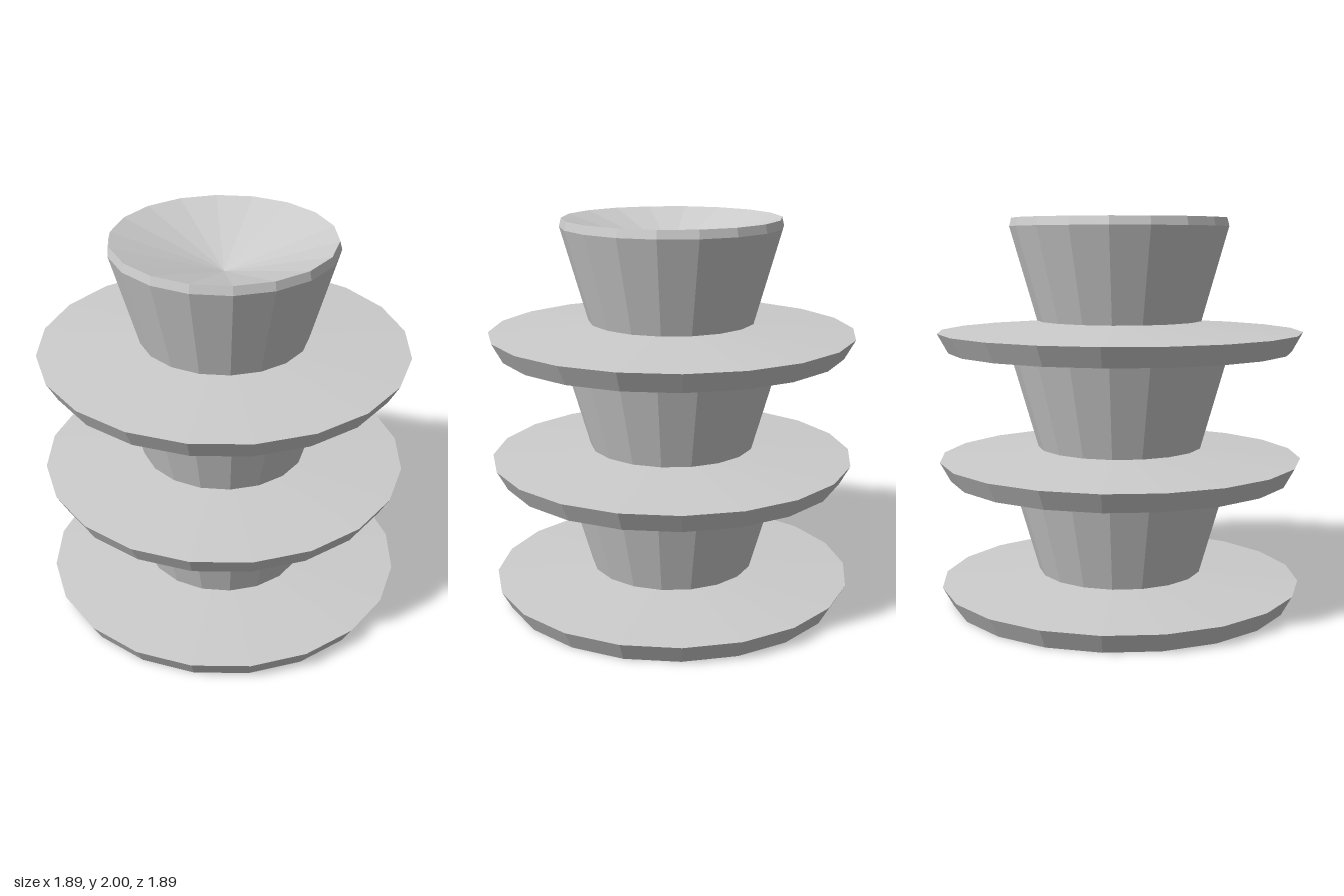
import * as THREE from 'three';

// Faceted solid of revolution with a corner on the +x axis; profile runs from bottom centre to top centre.
function turned(profile, sides) {
  const points = profile.map(([r, y]) => new THREE.Vector2(r, y));
  const geometry = new THREE.LatheGeometry(points, sides).rotateY(Math.PI / 2).toNonIndexed();
  geometry.computeVertexNormals();
  return geometry;
}

export function createModel() {
  const model = new THREE.Group();
  model.name = 'stackedInsulator';

  const grey = new THREE.MeshStandardMaterial({ color: 0xcccccc });
  grey.name = 'grey';

  // Wide disc with a flared edge and a shallow conical top
  const discGeometry = turned([[0, 0], [0.89, 0], [0.945, 0.1], [0, 0.152]], 20);

  // Tapered cup with a bevelled rim and a conical hollow
  const cupGeometry = turned([[0, 0.157], [0.43, 0.157], [0.568, 0.637], [0.557, 0.68], [0, 0.5]], 18);

  // Three identical tiers, each cup top sunk into the disc above
  const tierHeight = 0.66;
  for (let i = 0; i < 3; i++) {
    const tier = new THREE.Group();
    tier.name = `tier${i + 1}`;
    tier.position.y = i * tierHeight;

    const disc = new THREE.Mesh(discGeometry, grey);
    disc.name = 'disc';
    const cup = new THREE.Mesh(cupGeometry, grey);
    cup.name = 'cup';

    tier.add(disc, cup);
    model.add(tier);
  }
  return model;
}
